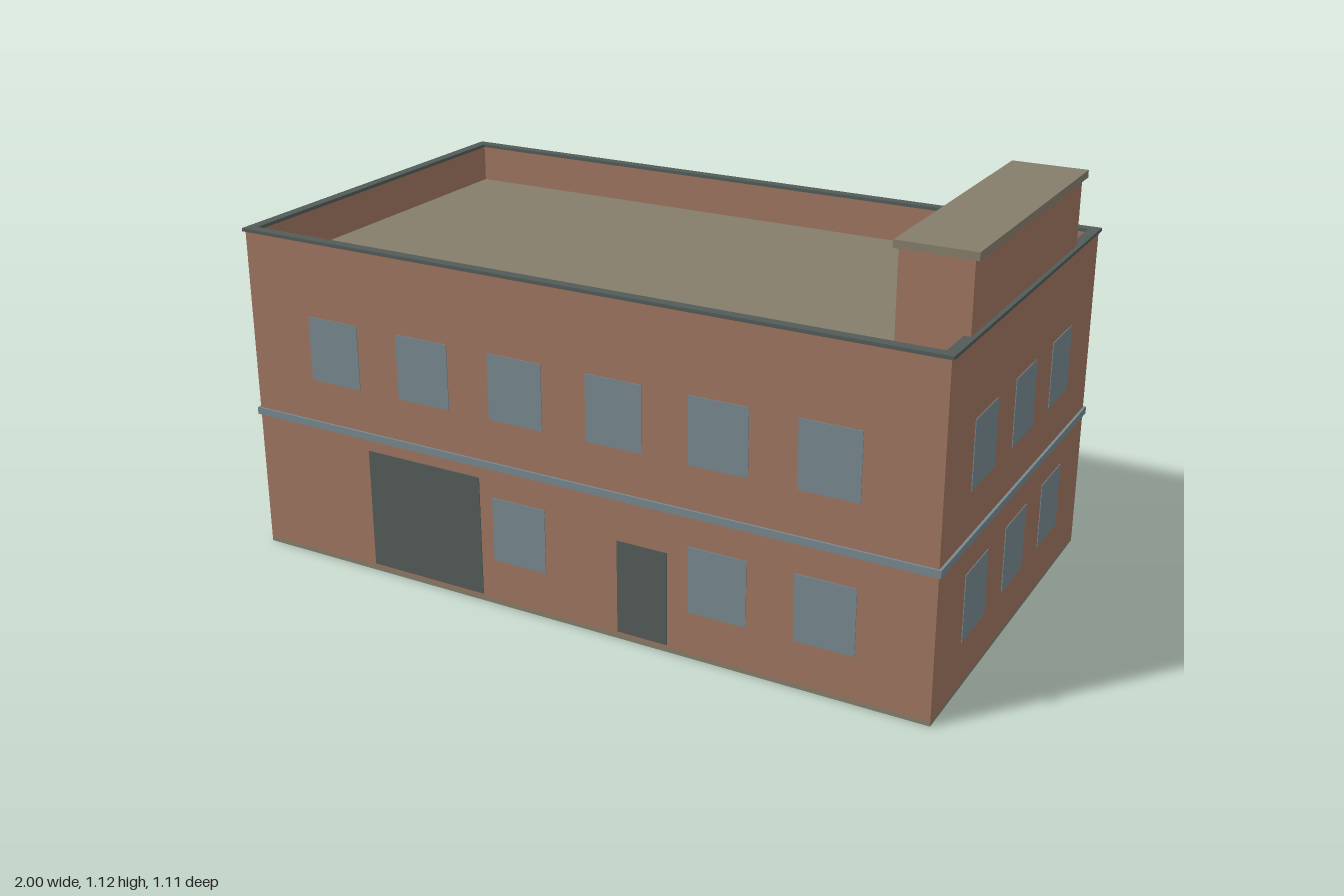
import * as THREE from 'three';

export function createModel() {
  const model = new THREE.Group();
  model.name = 'building';

  const mat = (name, color) => {
    const m = new THREE.MeshStandardMaterial({ color });
    m.name = name;
    return m;
  };
  const brick = mat('brick', 0x9e7460);
  const stone = mat('stone', 0x857d6b);
  const glass = mat('blue grey', 0x77888f);
  const slate = mat('dark slate', 0x525b58);

  const add = (name, geometry, material, parent = model) => {
    const mesh = new THREE.Mesh(geometry, material);
    mesh.name = name;
    parent.add(mesh);
    return mesh;
  };

  // Box given by its limits on each axis
  const box = (name, material, [x0, x1], [y0, y1], [z0, z1], parent) => {
    const mesh = add(name, new THREE.BoxGeometry(x1 - x0, y1 - y0, z1 - z0), material, parent);
    mesh.position.set((x0 + x1) / 2, (y0 + y1) / 2, (z0 + z1) / 2);
    return mesh;
  };

  // Rectangular ring, extruded upwards from y0 to y1
  const ring = (name, material, hx, hz, t, y0, y1) => {
    const corners = (a, b) => [[-a, -b], [a, -b], [a, b], [-a, b]].map(p => new THREE.Vector2(...p));
    const shape = new THREE.Shape(corners(hx, hz));
    shape.holes.push(new THREE.Path(corners(hx - t, hz - t).reverse()));
    const g = new THREE.ExtrudeGeometry(shape, { depth: y1 - y0, bevelEnabled: false });
    g.rotateX(-Math.PI / 2).translate(0, y0, 0);
    return add(name, g, material);
  };

  // Main shell
  const WX = 0.993, WZ = 0.551;
  box('baseSlab', stone, [-WX, WX], [0, 0.012], [-WZ, WZ]);
  ring('walls', brick, WX, WZ, 0.02, 0.012, 0.915);
  ring('floorBand', glass, 1, 0.557, 0.012, 0.39, 0.41);
  ring('parapetTrim', slate, 1, 0.556, 0.029, 0.915, 0.924);
  box('roof', stone, [-0.98, 0.98], [0.79, 0.81], [-0.54, 0.54]);

  // Rooftop stair house, open at the back
  const house = new THREE.Group();
  house.name = 'stairHouse';
  model.add(house);
  const top = 1.103, hy = [0.8, top], hz = [-0.367, 0.421];
  box('houseInnerWall', brick, [0.808, 0.826], hy, hz, house);
  box('houseOuterWall', brick, [0.97, 0.988], hy, hz, house);
  box('houseFrontWall', brick, [0.826, 0.97], hy, [0.403, 0.421], house);
  box('houseDoorHeader', brick, [0.826, 0.97], [1.07, top], [-0.367, -0.349], house);
  box('houseCap', stone, [0.798, 1], [top, 1.123], [-0.377, 0.43], house);

  // Thin plates on a facade; u runs left to right when facing it
  const facade = (name, angle, distance) => {
    const side = new THREE.Group();
    side.name = name;
    side.rotation.y = angle;
    model.add(side);
    return (part, material, u, y) =>
      box(part, material, u, y, [distance - 0.003, distance + 0.002], side);
  };
  const lower = [0.13, 0.31], upper = [0.528, 0.708];
  const columns = [-0.717, -0.43, -0.145, 0.143, 0.43, 0.717];
  const span = (c, w) => [c - w / 2, c + w / 2];

  // Long facades
  const front = facade('frontOpenings', 0, WZ);
  const back = facade('backOpenings', Math.PI, WZ);
  columns.forEach((c, i) => {
    const u = span(c, 0.16);
    front('upperWindow', glass, u, upper);
    back('upperWindow', glass, u, upper);
    if ([2, 4, 5].includes(i)) front('lowerWindow', glass, u, lower);
    if (i !== 3) back('lowerWindow', glass, u, lower);
  });
  front('garageDoor', slate, [-0.622, -0.265], [0.02, 0.357]);
  front('entranceDoor', slate, [0.148, 0.291], [0.02, 0.277]);
  back('backDoor', slate, [0.148, 0.291], [0.02, 0.277]);

  // Short facades
  for (const s of [1, -1]) {
    const side = facade(s > 0 ? 'leftOpenings' : 'rightOpenings', s * Math.PI / 2, WX);
    for (const c of [-0.287, 0, 0.287]) {
      side('lowerWindow', glass, span(c, 0.157), lower);
      side('upperWindow', glass, span(c, 0.157), upper);
    }
  }

  return model;
}
